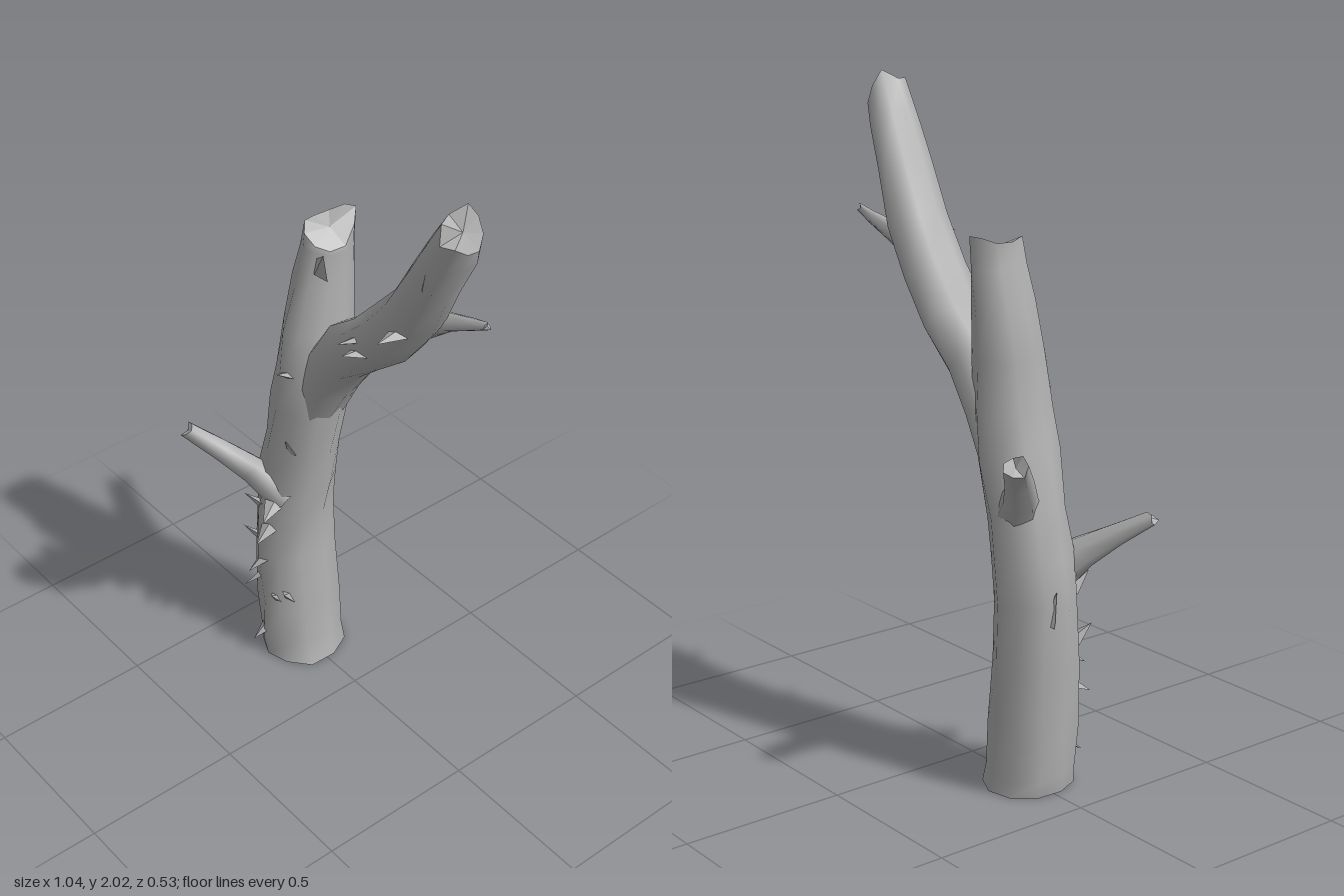
import * as THREE from 'three';

const bark = new THREE.MeshStandardMaterial({ color: 0xb0b0b0 });
bark.name = 'bark grey';
bark.side = THREE.DoubleSide;

let seed = 11;
const rand = () => (seed = (seed * 16807) % 2147483647) / 2147483647;

// Loft a limb through sections [x, y, z, radius across, radius in depth];
// jag lists how far each rim point of the broken end sticks out
function limb(name, sections, sides, rough, jag) {
  const centres = sections.map(s => new THREE.Vector3(s[0], s[1], s[2]));
  const last = sections.length - 1;
  const pos = [], index = [], zAxis = new THREE.Vector3(0, 0, 1);
  const rings = sections.map((s, i) => {
    const t = centres[Math.min(i + 1, last)].clone().sub(centres[Math.max(i - 1, 0)]).normalize();
    if (i === 0 && s[1] === 0) t.set(0, 1, 0);
    const u = zAxis.clone().cross(t).normalize();
    const v = t.clone().cross(u);
    return Array.from({ length: sides }, (_, j) => {
      const a = (j / sides) * Math.PI * 2 + 0.2;
      const k = 1.03 + (rand() - 0.5) * rough;
      const p = centres[i].clone()
        .addScaledVector(u, Math.cos(a) * s[3] * k)
        .addScaledVector(v, Math.sin(a) * s[4] * k);
      if (i === last) p.addScaledVector(t, jag[j % jag.length]);
      else if (i > 0) p.addScaledVector(t, (rand() - 0.5) * rough * 0.15);
      return p;
    });
  });
  rings.forEach(r => r.forEach(p => pos.push(p.x, p.y, p.z)));
  for (let i = 0; i < last; i++) {
    for (let j = 0; j < sides; j++) {
      const a = i * sides + j, b = i * sides + (j + 1) % sides;
      index.push(a, b, b + sides, a, b + sides, a + sides);
    }
  }
  // End caps have their own corners so the cut edges stay sharp
  [[rings[0], centres[0], true], [rings[last], centres[last], false]].forEach(([ring, c, flip]) => {
    ring.forEach((p, j) => {
      const q = ring[(j + 1) % sides], n = pos.length / 3;
      (flip ? [c, q, p] : [c, p, q]).forEach(w => pos.push(w.x, w.y, w.z));
      index.push(n, n + 1, n + 2);
    });
  });
  const g = new THREE.BufferGeometry();
  g.setAttribute('position', new THREE.Float32BufferAttribute(pos, 3));
  g.setIndex(index);
  g.computeVertexNormals();
  const mesh = new THREE.Mesh(g, bark);
  mesh.name = name;
  return mesh;
}

// Flat splinter of bark with its root at p, pointing along d
function splinter(p, d, length, width) {
  const g = new THREE.ConeGeometry(width, length, 4, 1).toNonIndexed();
  g.scale(1, 1, 0.45);
  g.translate(0, length * 0.3, 0);
  g.computeVertexNormals();
  const mesh = new THREE.Mesh(g, bark);
  mesh.name = 'barkSplinter';
  mesh.position.set(...p);
  mesh.quaternion.setFromUnitVectors(new THREE.Vector3(0, 1, 0), new THREE.Vector3(...d).normalize());
  return mesh;
}

export function createModel() {
  const model = new THREE.Group();
  model.name = 'deadTree';

  model.add(limb('trunk', [
    [-0.265, 0, 0, 0.125, 0.135],
    [-0.278, 0.06, 0, 0.12, 0.135],
    [-0.287, 0.2, 0, 0.113, 0.13],
    [-0.303, 0.4, -0.005, 0.108, 0.128],
    [-0.305, 0.58, -0.01, 0.115, 0.125],
    [-0.29, 0.7, -0.015, 0.112, 0.118],
    [-0.272, 0.83, -0.02, 0.11, 0.118],
    [-0.235, 1.0, -0.022, 0.107, 0.122],
    [-0.215, 1.13, -0.025, 0.1, 0.12],
    [-0.215, 1.28, -0.035, 0.088, 0.11],
    [-0.212, 1.42, -0.055, 0.073, 0.095],
    [-0.198, 1.54, -0.065, 0.058, 0.085],
    [-0.197, 1.59, -0.07, 0.052, 0.08],
  ], 10, 0.13, [0.015, 0.02, 0, -0.03, -0.045, -0.04, 0.01, 0.045, 0.04, 0.02]));

  model.add(limb('mainBranch', [
    [-0.22, 0.96, -0.025, 0.07, 0.09],
    [-0.15, 1.13, -0.03, 0.09, 0.105],
    [-0.07, 1.25, -0.035, 0.086, 0.102],
    [0.03, 1.34, -0.03, 0.079, 0.098],
    [0.16, 1.455, -0.01, 0.083, 0.093],
    [0.27, 1.59, 0.01, 0.081, 0.09],
    [0.36, 1.74, 0.03, 0.068, 0.087],
    [0.43, 1.86, 0.042, 0.062, 0.077],
    [0.478, 1.95, 0.05, 0.05, 0.066],
  ], 9, 0.13, [0.02, 0.03, -0.015, 0.0, -0.03, -0.05, -0.03, 0.01, 0.05]));

  model.add(limb('frontTwig', [
    [-0.27, 0.63, 0.05, 0.075, 0.06],
    [-0.36, 0.71, 0.115, 0.048, 0.042],
    [-0.43, 0.765, 0.17, 0.034, 0.034],
    [-0.515, 0.826, 0.236, 0.022, 0.024],
  ], 7, 0.12, [0, 0.012, 0, -0.008]));

  model.add(limb('backTwig', [
    [-0.27, 0.83, -0.05, 0.075, 0.07],
    [-0.36, 0.92, -0.115, 0.048, 0.05],
    [-0.42, 0.985, -0.17, 0.038, 0.04],
    [-0.475, 1.045, -0.226, 0.034, 0.034],
  ], 7, 0.12, [0, 0.015, 0.02, -0.01]));

  model.add(limb('sideTwig', [
    [0.25, 1.52, -0.02, 0.05, 0.04],
    [0.33, 1.56, -0.045, 0.03, 0.025],
    [0.41, 1.59, -0.056, 0.02, 0.016],
    [0.465, 1.612, -0.061, 0.012, 0.01],
  ], 6, 0.1, [0.01, 0, -0.01]));

  // Splinters down the front of the trunk: x, y
  [[-0.3, 0.1], [-0.25, 0.25], [-0.33, 0.3], [-0.22, 0.27], [-0.31, 0.38],
    [-0.35, 0.45], [-0.28, 0.52], [-0.33, 0.6], [-0.26, 0.62]].forEach(([x, y], i) => {
    const a = (x + 0.295) / 0.12;
    const z = 0.122 * Math.sqrt(1 - a * a);
    model.add(splinter([x, y, z], [a, i % 2 ? 0.9 : -0.5, 0.8], 0.075, 0.03));
  });

  // Splinters higher up: root, direction, length, width
  [[[-0.21, 0.86, 0.08], [0.2, 1, 0.5], 0.07, 0.025],
    [[-0.2, 1.14, 0.08], [0, 0.5, 1], 0.07, 0.03],
    [[0.1, 1.38, 0.07], [0, 0.3, 1], 0.08, 0.035],
    [[0.08, 1.41, 0.06], [-0.2, 0.1, 1], 0.08, 0.03],
    [[0.28, 1.55, 0.095], [0, 0, 1], 0.08, 0.032],
    [[0.4, 1.77, 0.1], [0.3, 1, 0.3], 0.07, 0.025],
    [[-0.4, 0.56, -0.04], [-0.3, 1, 0.1], 0.1, 0.035],
    [[-0.155, 1.5, 0], [0.5, 1, 0.2], 0.09, 0.04],
  ].forEach(s => model.add(splinter(...s)));

  return model;
}
